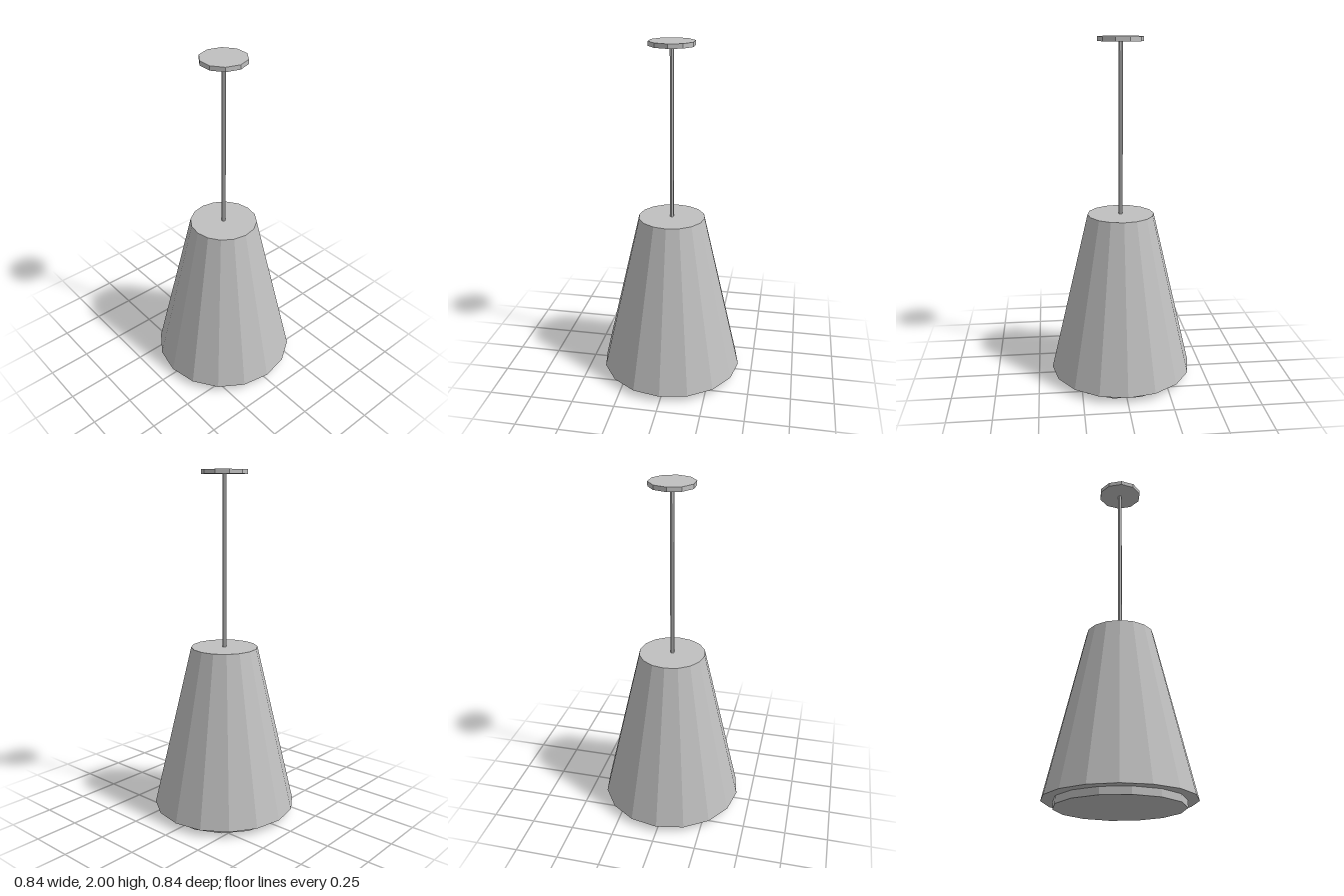
import * as THREE from 'three';

export function createModel() {
  const lamp = new THREE.Group();
  lamp.name = 'pendantLamp';
  const grey = new THREE.MeshStandardMaterial({ color: 0xc0c0c0, flatShading: true });
  grey.name = 'lightGrey';

  // Faceted drum or cone between two heights, with a corner on the x axis
  function drum(name, rTop, rBottom, y0, y1, sides) {
    const geo = new THREE.CylinderGeometry(rTop, rBottom, y1 - y0, sides);
    geo.rotateY(Math.PI / 2);
    const mesh = new THREE.Mesh(geo, grey);
    mesh.name = name;
    mesh.position.y = (y0 + y1) / 2;
    lamp.add(mesh);
  }

  drum('ceilingPlate', 0.129, 0.129, 1.975, 2.0, 10);
  drum('rod', 0.012, 0.012, 1.0, 1.975, 6);
  drum('shade', 0.193, 0.418, 0.04, 1.0, 16);
  drum('diffuser', 0.355, 0.355, 0, 0.04, 14);

  return lamp;
}
